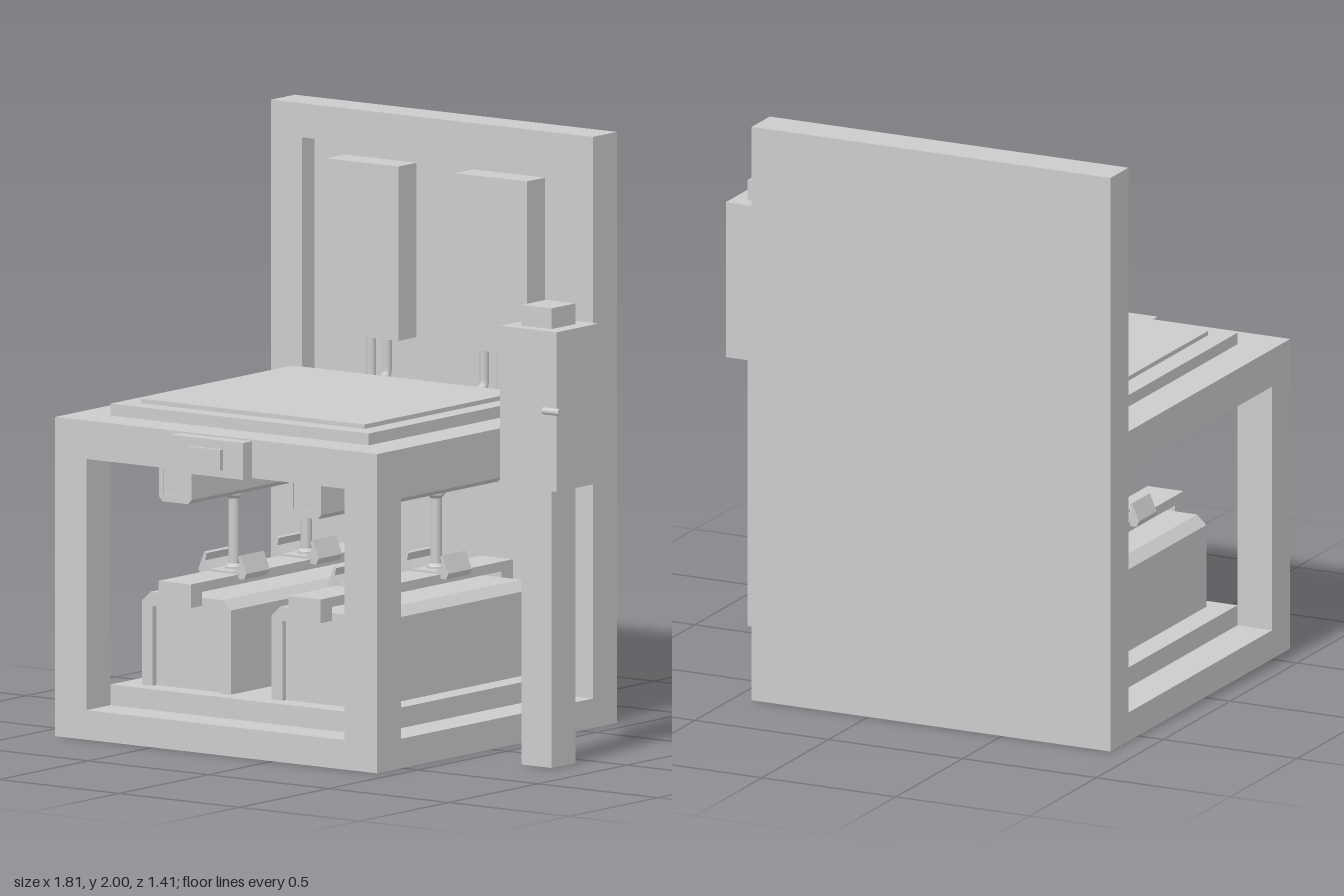
import * as THREE from 'three';

const material = new THREE.MeshStandardMaterial({ color: 0xcccccc, flatShading: true });
const smooth = new THREE.MeshStandardMaterial({ color: 0xcccccc });

export function createModel() {
  const model = new THREE.Group();
  model.name = 'workstation';

  const add = (name, geometry, parent = model, mat = material) => {
    const mesh = new THREE.Mesh(geometry, mat);
    mesh.name = name;
    parent.add(mesh);
    return mesh;
  };
  // Box given by its limits on each axis
  const box = (name, [x0, x1], [y0, y1], [z0, z1], parent = model) => {
    const mesh = add(name, new THREE.BoxGeometry(x1 - x0, y1 - y0, z1 - z0), parent);
    mesh.position.set((x0 + x1) / 2, (y0 + y1) / 2, (z0 + z1) / 2);
    return mesh;
  };
  // Cross-section in x, y extruded from z0 to z1
  const prism = (name, points, z0, z1, parent) => {
    const shape = new THREE.Shape(points.map(([x, y]) => new THREE.Vector2(x, y)));
    const mesh = add(name, new THREE.ExtrudeGeometry(shape, { depth: z1 - z0, bevelEnabled: false }), parent);
    mesh.position.z = z0;
    return mesh;
  };
  // Rectangular plate with a rectangular opening, extruded along z
  const rect = (Type, [x0, x1], [y0, y1]) => new Type([
    new THREE.Vector2(x0, y0), new THREE.Vector2(x1, y0),
    new THREE.Vector2(x1, y1), new THREE.Vector2(x0, y1)]);
  const opening = (name, outX, outY, inX, inY, depth) => {
    const shape = rect(THREE.Shape, outX, outY);
    shape.holes.push(rect(THREE.Path, inX, inY));
    return add(name, new THREE.ExtrudeGeometry(shape, { depth, bevelEnabled: false }));
  };

  const outX = [-0.905, 0.435], inX = [-0.775, 0.3];

  // Open frame: two horizontal rings and the front posts
  for (const [name, top] of [['lowerFrame', 0.1], ['upperFrame', 1.08]]) {
    const ring = opening(name, outX, [-0.64, 0.57], inX, [-0.505, name === 'lowerFrame' ? 0.569 : 0.505], top === 0.1 ? 0.1 : 0.13);
    ring.rotation.x = -Math.PI / 2;
    ring.position.y = top === 0.1 ? 0 : 0.95;
  }
  for (const x of [[-0.905, -0.775], [0.3, 0.435]]) box('framePost', x, [0.1, 0.95], [0.505, 0.64]);

  // Tall back wall with a recessed upper field
  box('backWall', outX, [0, 2], [-0.705, -0.64]);
  opening('backWallFrame', outX, [1.08, 2], inX, [1.081, 1.885], 0.07).position.z = -0.64;
  box('backWallBase', outX, [0, 1.08], [-0.64, -0.57]);

  // Floor plate and worktop
  box('floorPlate', inX, [0.1, 0.17], [-0.57, 0.505]);
  box('worktop', inX, [1.0, 1.12], [-0.505, 0.505]);
  box('worktopPad', [-0.7, 0.23], [1.12, 1.135], [-0.44, 0.435]);

  // Front control box
  box('controlBox', [-0.385, -0.085], [0.95, 1.075], [0.64, 0.69]);
  box('controlScreen', [-0.305, -0.17], [0.975, 1.045], [0.69, 0.705]);

  // Two identical lanes: base block, rail, cradles, rods and top channel
  for (const x of [-0.505, 0.035]) {
    const lane = new THREE.Group();
    lane.name = 'lane';
    lane.position.x = x;
    model.add(lane);

    // Hood over a solid core
    prism('baseHood', [[-0.185, 0.17], [-0.14, 0.17], [-0.14, 0.44], [0.14, 0.44], [0.14, 0.17],
      [0.185, 0.17], [0.185, 0.455], [0.15, 0.487], [-0.15, 0.487], [-0.185, 0.455]], -0.505, 0.443, lane);
    box('baseCore', [-0.14, 0.14], [0.17, 0.44], [-0.485, 0.423], lane);

    // Rail bridging the hood
    box('rail', [-0.067, 0.067], [0.507, 0.54], [-0.57, 0.508], lane);
    box('railFrontEnd', [-0.067, 0.067], [0.46, 0.507], [0.445, 0.508], lane);
    box('railBackEnd', [-0.067, 0.067], [0.46, 0.507], [-0.57, -0.507], lane);

    // Cradles with flared sides, and lifting rods
    const half = [[0.06, 0.525], [0.09, 0.525], [0.1, 0.545], [0.075, 0.605], [0.066, 0.6], [0.072, 0.575], [0.05, 0.548]];
    const section = [...half, ...half.map(([px, py]) => [-px, py]).reverse()];
    for (const z of [-0.23, 0.175]) {
      prism('cradle', section, z - 0.066, z + 0.066, lane);
      const profile = [[0, 0.54], [0.03, 0.54], [0.03, 0.555], [0.019, 0.565], [0.019, 0.785],
        [0.031, 0.797], [0.031, 0.812]].map(([r, y]) => new THREE.Vector2(r, y));
      add('liftRod', new THREE.LatheGeometry(profile, 20), lane).position.z = z;
    }

    // Channel under the worktop with its core
    prism('topChannel', [[-0.067, 1.0], [-0.067, 0.825], [-0.054, 0.81], [0.054, 0.81], [0.067, 0.825],
      [0.067, 1.0], [0.05, 1.0], [0.05, 0.835], [-0.05, 0.835], [-0.05, 1.0]], -0.505, 0.505, lane);
    box('channelCore', [-0.05, 0.05], [0.835, 1.0], [-0.5, 0.5], lane);
  }

  // Wall cabinets with two conduits each: one to the worktop, one to the channel
  for (const [x0, straight, bent] of [[-0.65, -0.505, -0.44], [-0.115, 0.035, -0.035]]) {
    box('wallCabinet', [x0, x0 + 0.3], [1.24, 1.83], [-0.64, -0.537]);
    for (const [x, y] of [[straight, 0.88], [bent, 1.097]]) {
      const path = new THREE.CurvePath();
      const v = (py, pz) => new THREE.Vector3(x, py, pz);
      path.add(new THREE.LineCurve3(v(1.25, -0.595), v(y + 0.035, -0.595)));
      path.add(new THREE.QuadraticBezierCurve3(v(y + 0.035, -0.595), v(y, -0.595), v(y, -0.56)));
      path.add(new THREE.LineCurve3(v(y, -0.56), v(y, -0.5)));
      add('conduit', new THREE.TubeGeometry(path, 40, 0.016, 12), model, smooth);
    }
  }

  // Free-standing column with its head, cap and side lever
  box('columnPost', [0.71, 0.835], [0, 0.95], [0.065, 0.2]);
  box('columnHead', [0.655, 0.89], [0.945, 1.485], [0.012, 0.247]);
  box('columnCap', [0.71, 0.835], [1.485, 1.555], [0.065, 0.2]);
  const lever = add('columnLever', new THREE.CylinderGeometry(0.012, 0.012, 0.068, 16));
  lever.rotation.z = Math.PI / 2;
  lever.position.set(0.87, 1.215, 0.247);

  return model;
}
